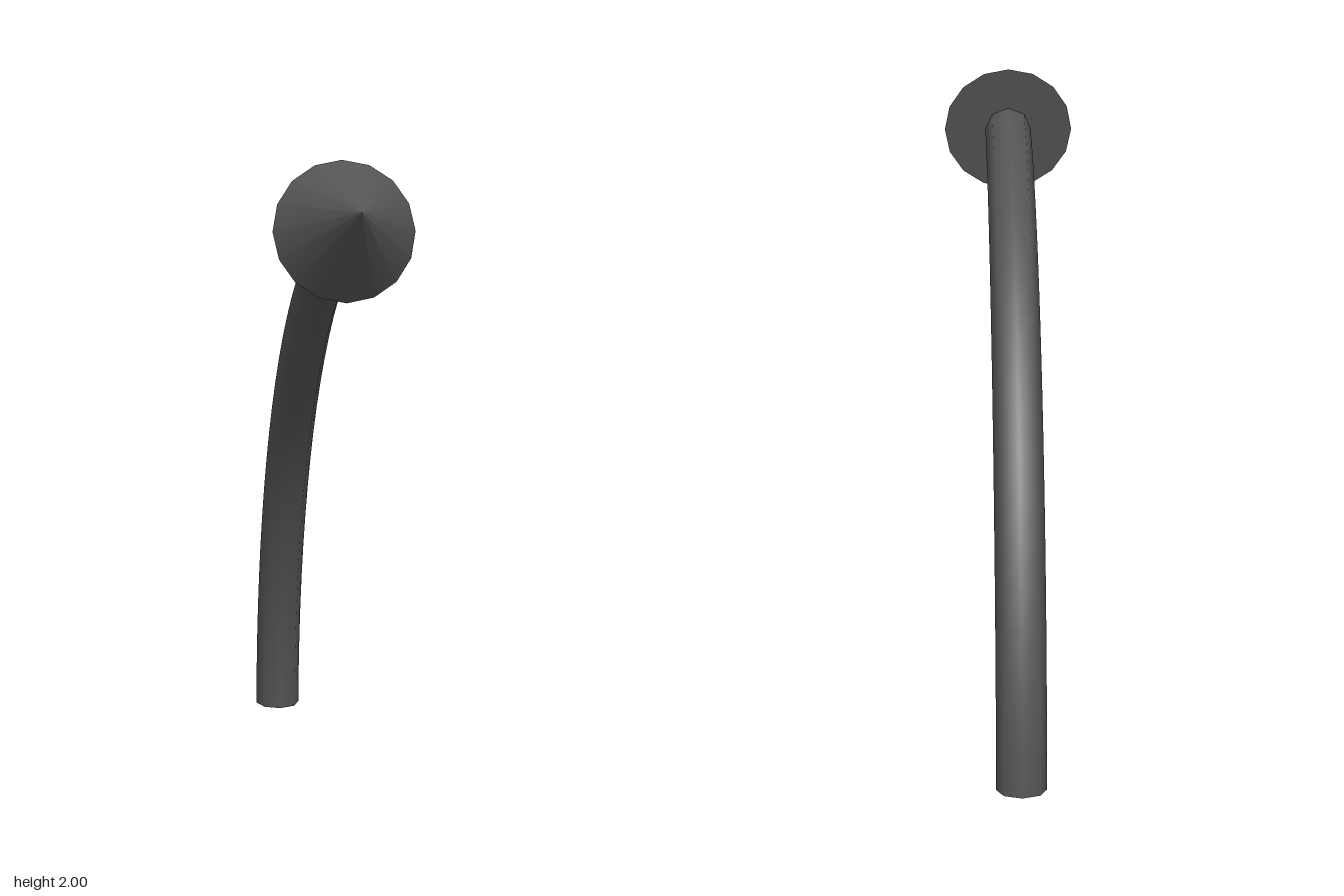
import * as THREE from 'three';

export function createModel() {
  const group = new THREE.Group();
  const material = new THREE.MeshStandardMaterial({ color: 0x555555 });
  const add = (name, geometry) => {
    const mesh = new THREE.Mesh(geometry, material);
    mesh.name = name;
    group.add(mesh);
    return mesh;
  };

  // Centreline: circular arc in the yz plane, rising from the floor and bending forward
  const R = 1.932, steps = 20, radius = 0.077;
  const start = THREE.MathUtils.degToRad(2.6), end = THREE.MathUtils.degToRad(75.8);
  const points = [];
  for (let i = 0; i <= steps; i++) {
    const t = start + (end - start) * i / steps;
    points.push(new THREE.Vector3(0, -0.083 + R * Math.sin(t), 1.09 - R * Math.cos(t)));
  }
  const path = new THREE.CatmullRomCurve3(points);

  // Eight-sided bent shaft
  add('shaft', new THREE.TubeGeometry(path, steps, radius, 8, false));

  // Flat cap closing the foot of the shaft
  const foot = add('shaftEnd', new THREE.CircleGeometry(radius, 8));
  foot.position.copy(points[0]);
  foot.lookAt(points[0].clone().sub(path.getTangent(0)));

  // Sixteen-sided arrowhead, its base centred on the end of the shaft
  const height = 0.313;
  const tilt = THREE.MathUtils.degToRad(13);
  const direction = new THREE.Vector3(0, Math.sin(tilt), Math.cos(tilt));
  const head = add('arrowhead', new THREE.ConeGeometry(0.215, height, 16));
  head.quaternion.setFromUnitVectors(new THREE.Vector3(0, 1, 0), direction);
  head.position.copy(points[steps]).addScaledVector(direction, height / 2);

  return group;
}
